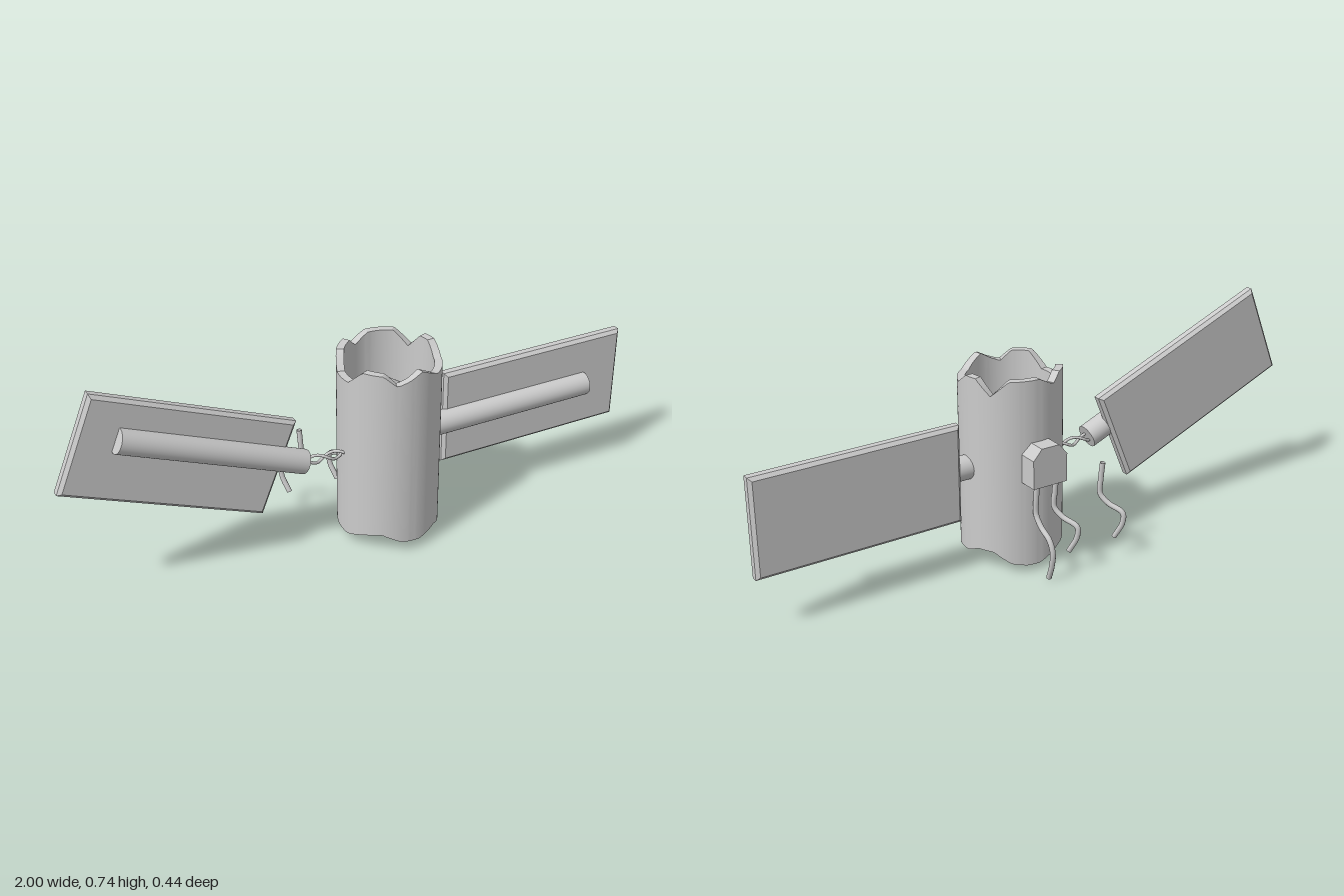
import * as THREE from 'three';
import { toCreasedNormals } from 'three/addons/utils/BufferGeometryUtils.js';

const CX = 0.087, CZ = 0.053;      // axis of the hull
const R_OUT = 0.167, R_IN = 0.142;

// Torn rim outlines: [angle in degrees from the front towards +x, height]
const TOP = [[-180, 0.655], [-160, 0.625], [-147, 0.655], [-122, 0.652], [-105, 0.6], [-78, 0.6], [-58, 0.652],
  [-35, 0.65], [-20, 0.615], [-6, 0.63], [8, 0.652], [35, 0.615], [74, 0.615], [93, 0.654],
  [108, 0.654], [126, 0.605], [146, 0.655], [180, 0.655]];
const BOTTOM = [[-180, 0.025], [-150, 0.055], [-128, 0.062], [-105, 0.04], [-80, 0.036], [-55, 0.06], [-35, 0.07],
  [-12, 0.04], [10, 0.036], [35, 0.054], [55, 0.035], [75, 0.048], [92, 0.052], [108, 0.073],
  [127, 0.073], [147, 0.035], [165, 0.025], [180, 0.025]];

function heightAt(outline, deg) {
  for (let i = 1; i < outline.length; i++) {
    const [a0, h0] = outline[i - 1], [a1, h1] = outline[i];
    if (deg <= a1) return h0 + (h1 - h0) * (deg - a0) / (a1 - a0);
  }
  return outline[0][1];
}

// Thick-walled tube with jagged ends, swept from a four-corner section
function hullGeometry() {
  const positions = [], indices = [], steps = 120;
  for (let i = 0; i <= steps; i++) {
    const deg = -180 + 360 * i / steps, a = THREE.MathUtils.degToRad(deg);
    const lo = heightAt(BOTTOM, deg), hi = heightAt(TOP, deg);
    for (const [r, y] of [[R_OUT, lo], [R_OUT, hi], [R_IN, hi], [R_IN, lo]])
      positions.push(r * Math.sin(a), y, r * Math.cos(a));
  }
  for (let i = 0; i < steps; i++)
    for (let j = 0; j < 4; j++) {
      const a = i * 4 + j, d = i * 4 + (j + 1) % 4, b = a + 4, c = d + 4;
      indices.push(a, b, c, a, c, d);
    }
  const g = new THREE.BufferGeometry();
  g.setAttribute('position', new THREE.Float32BufferAttribute(positions, 3));
  g.setIndex(indices);
  return toCreasedNormals(g, 0.5);
}

// Rectangular plate with chamfered edges, centred on its origin
function panelGeometry(w, h, t, b) {
  const x = w / 2 - b, y = h / 2 - b;
  const s = new THREE.Shape([[-x, -y], [x, -y], [x, y], [-x, y]].map(p => new THREE.Vector2(...p)));
  const g = new THREE.ExtrudeGeometry(s, { depth: t - 2 * b, bevelEnabled: true, bevelThickness: b, bevelSize: b, bevelSegments: 1 });
  return g.translate(0, 0, -t / 2 + b);
}

function tube(points, radius) {
  const curve = new THREE.CatmullRomCurve3(points.map(p => new THREE.Vector3(...p)));
  const g = new THREE.TubeGeometry(curve, 48, radius, 10);
  return g;
}

export function createModel() {
  const model = new THREE.Group();
  const grey = new THREE.MeshStandardMaterial({ color: 0xcccccc });
  const wireGrey = new THREE.MeshStandardMaterial({ color: 0xcccccc, side: THREE.DoubleSide });
  const add = (name, geometry, x = 0, y = 0, z = 0, material = grey) => {
    const m = new THREE.Mesh(geometry, material);
    m.name = name;
    m.position.set(x, y, z);
    model.add(m);
    return m;
  };

  // Torn hull and the conical bulkhead inside it
  add('hull', hullGeometry(), CX, 0, CZ);
  add('bulkhead', new THREE.ConeGeometry(R_IN + 0.003, 0.1, 48), CX, 0.51, CZ);

  // Intact panel and spar on the left side
  const panel = panelGeometry(0.697, 0.33, 0.044, 0.011);
  add('leftPanel', panel, 0.6485, 0.345, 0.025);
  const leftSpar = add('leftSpar', new THREE.CylinderGeometry(0.04, 0.04, 0.645, 32), 0.5325, 0.342, CZ);
  leftSpar.rotation.z = Math.PI / 2;

  // Broken-off panel and spar on the right side, tilted together
  const tilt = THREE.MathUtils.degToRad(-22.3);
  add('rightPanel', panel, -0.616, 0.459, 0.025).rotation.z = tilt;
  const rightSpar = add('rightSpar', new THREE.CylinderGeometry(0.04, 0.04, 0.645, 32), -0.513, 0.458, CZ);
  rightSpar.rotation.z = tilt + Math.PI / 2;

  // Twisted pair of cables still joining the spar to the hull
  for (const phase of [0, Math.PI]) {
    const points = [];
    for (let i = 0; i <= 16; i++) {
      const t = i / 16, a = phase + t * Math.PI * 2.5;
      points.push([-0.23 + 0.165 * t, 0.335 - 0.008 * t + 0.012 * Math.cos(a), CZ + 0.012 * Math.sin(a)]);
    }
    add('joiningCable', tube(points, 0.005), 0, 0, 0, wireGrey);
  }

  // Junction box on the back, with sloped upper corners
  const box = new THREE.Shape([[-0.0625, 0.32], [0.0625, 0.32], [0.0625, 0.415], [0.032, 0.45], [-0.032, 0.45], [-0.0625, 0.415]]
    .map(p => new THREE.Vector2(...p)));
  add('junctionBox', new THREE.ExtrudeGeometry(box, { depth: 0.066, bevelEnabled: false }), CX - 0.003, 0, -0.17);

  // Loose cables hanging behind the hull
  const bentCable = tube([[-0.14, 0.33, -0.138], [-0.138, 0.27, -0.132], [-0.137, 0.22, -0.131],
    [-0.152, 0.19, -0.155], [-0.178, 0.165, -0.2], [-0.178, 0.13, -0.2], [-0.163, 0.075, -0.177]], 0.009);
  add('looseCable', bentCable, 0, 0, 0, wireGrey);
  add('shortBoxCable', bentCable, 0.18, 0, 0, wireGrey);
  add('longBoxCable', tube([[0.112, 0.33, -0.138], [0.112, 0.27, -0.132], [0.111, 0.21, -0.13],
    [0.108, 0.175, -0.153], [0.105, 0.145, -0.195], [0.102, 0.105, -0.21], [0.1, 0.055, -0.202], [0.098, 0.005, -0.183]], 0.009), 0, 0, 0, wireGrey);

  return model;
}
